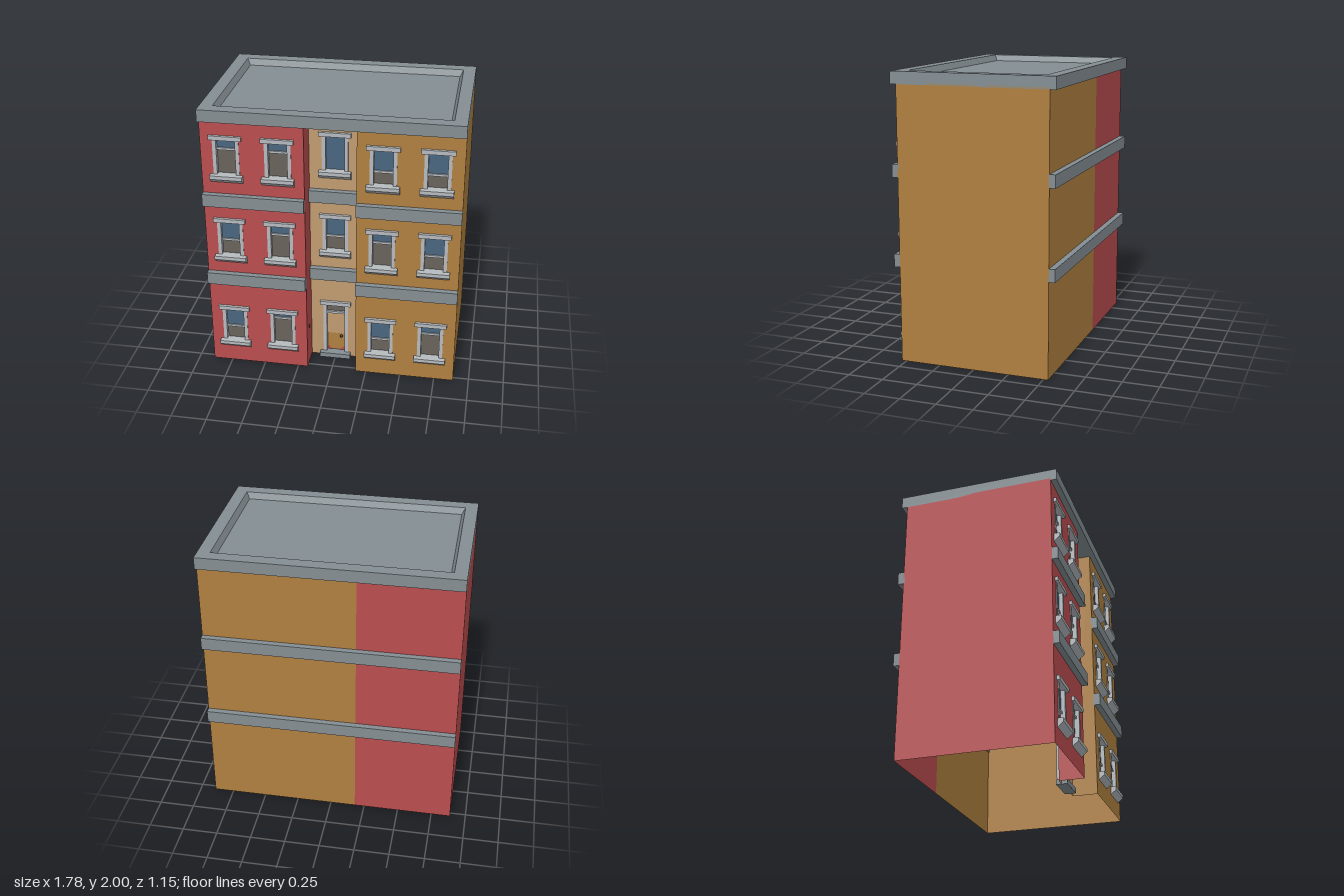
import * as THREE from 'three';

const mat = (name, color) => new THREE.MeshStandardMaterial({ name, color, side: THREE.DoubleSide });

export function createModel() {
  const red = mat('redBrick', 0xba4d4e);
  const ochre = mat('ochreBrick', 0xb08040);
  const tan = mat('tanBrick', 0xc19b70);
  const stone = mat('greyStone', 0x848e93);
  const trim = mat('lightTrim', 0xb6bbbf);
  const glass = mat('blueGlass', 0x4a667f);
  const screen = mat('brownScreen', 0x68625a);
  const dark = mat('darkMetal', 0x3c3a38);

  const model = new THREE.Group();
  model.name = 'rowBuilding';
  const X = 0.888, Z = 0.533, L = -0.18, R = 0.175, REC = 0.355, TOP = 1.93;
  const floors = [[0.185, 0.445], [0.9, 1.16], [1.525, 1.78]]; // opening bottom and top
  const columns = [-0.713, -0.358, 0, 0.353, 0.712];
  // height of the sash rail by floor and column (null: undivided glass)
  const rails = [
    [0.29, 0.392, null, 0.29, 0.37],
    [1.012, 1.08, 1.007, 1.08, 1.007],
    [1.706, 1.706, null, 1.616, 1.62],
  ];

  function add(parent, name, geometry, material, x = 0, y = 0, z = 0) {
    const mesh = new THREE.Mesh(geometry, material);
    mesh.name = name;
    mesh.position.set(x, y, z);
    parent.add(mesh);
    return mesh;
  }
  // box given by its limits
  function box(parent, name, material, x0, x1, y0, y1, z0, z1) {
    return add(parent, name, new THREE.BoxGeometry(x1 - x0, y1 - y0, z1 - z0), material,
      (x0 + x1) / 2, (y0 + y1) / 2, (z0 + z1) / 2);
  }
  const rect = (C, x0, x1, y0, y1) => new C([[x0, y0], [x1, y0], [x1, y1], [x0, y1]]
    .map(([x, y]) => new THREE.Vector2(x, y)));

  // front walls with window openings
  function frontWall(name, material, x0, x1, z, cols) {
    const shape = rect(THREE.Shape, x0, x1, 0, TOP);
    for (const c of cols) floors.forEach(([b, t], f) => {
      const low = c === 0 && f === 0 ? 0.02 : b - 0.012;
      shape.holes.push(rect(THREE.Path, c - 0.078, c + 0.078, low, t + 0.012));
    });
    add(model, name, new THREE.ShapeGeometry(shape), material, 0, 0, z);
  }
  frontWall('redFrontWall', red, -X, L, Z, columns.slice(0, 2));
  frontWall('recessWall', tan, L, R, REC, [0]);
  frontWall('ochreFrontWall', ochre, R, X, Z, columns.slice(3));

  // back and side walls
  function plainWall(name, material, x, z, width, turn) {
    const wall = add(model, name, new THREE.PlaneGeometry(width, TOP), material, x, TOP / 2, z);
    wall.rotation.y = turn;
  }
  plainWall('redBackWall', red, (L - X) / 2, -Z, X + L, Math.PI);
  plainWall('ochreBackWall', ochre, (L + X) / 2, -Z, X - L, Math.PI);
  plainWall('redSideWall', red, -X, 0, 2 * Z, -Math.PI / 2);
  plainWall('ochreSideWall', ochre, X, 0, 2 * Z, Math.PI / 2);
  plainWall('redRecessSide', red, L, (Z + REC) / 2, Z - REC, Math.PI / 2);
  plainWall('ochreRecessSide', ochre, R, (Z + REC) / 2, Z - REC, -Math.PI / 2);

  // string courses on front and back
  for (const y of [0.67, 1.29]) {
    const h = y + 0.09;
    box(model, 'leftFrontBand', stone, -X, L, y, h, Z - 0.01, 0.575);
    box(model, 'recessBand', stone, L, R, y, h, REC - 0.01, REC + 0.042);
    box(model, 'rightFrontBand', stone, R, X, y, h, Z - 0.01, 0.575);
    box(model, 'backBand', stone, -X, X, y, h, -0.575, -Z + 0.01);
  }

  // roof slab with parapet, swept through rectangular rings
  function ringGeometry(rings) {
    const p = [];
    const corner = ([hx, hz, y], i) => [[hx, y, hz], [hx, y, -hz], [-hx, y, -hz], [-hx, y, hz]][i % 4];
    for (let r = 0; r < rings.length - 1; r++) for (let i = 0; i < 4; i++) {
      const a = corner(rings[r], i), b = corner(rings[r], i + 1);
      const c = corner(rings[r + 1], i + 1), d = corner(rings[r + 1], i);
      if (rings[r][0] > 0) p.push(...a, ...b, ...c);
      if (rings[r + 1][0] > 0) p.push(...a, ...c, ...d);
      else if (rings[r][0] === 0) continue;
    }
    const g = new THREE.BufferGeometry();
    g.setAttribute('position', new THREE.Float32BufferAttribute(p, 3));
    g.computeVertexNormals();
    return g;
  }
  add(model, 'corniceAndRoof', ringGeometry([
    [0, 0, 1.915], [X, 0.575, 1.915], [X, 0.575, 2],
    [0.8, 0.485, 2], [0.777, 0.464, 1.955], [0, 0, 1.955],
  ]), stone);

  // sill with a sloping underside
  const sillShape = new THREE.Shape([[-0.04, -0.03], [0, -0.06], [0.04, -0.026], [0.04, 0], [-0.04, 0]]
    .map(([x, y]) => new THREE.Vector2(x, y)));
  const sillGeometry = new THREE.ExtrudeGeometry(sillShape, { depth: 0.225, bevelEnabled: false });
  sillGeometry.translate(0, 0, -0.1125).rotateY(-Math.PI / 2);

  // lintel and jambs shared by windows and door
  function surround(group, bottom, top) {
    box(group, 'lintel', trim, -0.1125, 0.1125, top, top + 0.03, -0.04, 0.021);
    for (const s of [-1, 1])
      box(group, 'jamb', trim, s * 0.078 - 0.013, s * 0.078 + 0.013, bottom, top, -0.04, 0.003);
  }
  function pane(group, name, material, y0, y1, z) {
    add(group, name, new THREE.PlaneGeometry(0.134, y1 - y0), material, 0, (y0 + y1) / 2, z);
  }

  columns.forEach((x, c) => floors.forEach(([bottom, top], f) => {
    if (c === 2 && f === 0) return;
    const group = new THREE.Group();
    group.name = 'window';
    group.position.set(x, 0, c === 2 ? REC : Z);
    model.add(group);
    surround(group, bottom, top);
    add(group, 'sill', sillGeometry, trim, 0, bottom);
    const rail = rails[f][c];
    pane(group, 'upperGlass', glass, rail ?? bottom, top, -0.025);
    if (rail !== null) {
      pane(group, 'lowerScreen', screen, bottom, rail, -0.03);
      box(group, 'sashRail', trim, -0.066, 0.066, rail - 0.008, rail + 0.008, -0.035, -0.015);
    }
  }));

  // front door with transom, panels, knob and step
  const door = new THREE.Group();
  door.name = 'door';
  door.position.z = REC;
  model.add(door);
  surround(door, 0.035, 0.445);
  pane(door, 'transom', screen, 0.37, 0.445, -0.025);
  box(door, 'transomBar', trim, -0.066, 0.066, 0.36, 0.377, -0.035, -0.01);
  pane(door, 'upperDoorPanel', tan, 0.18, 0.365, -0.025);
  pane(door, 'lowerDoorPanel', ochre, 0.02, 0.18, -0.025);
  for (const s of [-1, 1]) {
    const chip = new THREE.Shape([[s * 0.066, 0.035], [s * 0.02, 0.035], [s * 0.06, 0.068]]
      .map(([a, b]) => new THREE.Vector2(a, b)));
    add(door, 'redDoorCorner', new THREE.ShapeGeometry(chip), red, 0, 0, -0.022);
  }
  add(door, 'doorKnob', new THREE.SphereGeometry(0.011, 12, 8), dark, 0.04, 0.165, -0.012);
  box(door, 'doorStep', stone, -0.1125, 0.1125, 0, 0.036, -0.04, 0.04);

  // bell on the recess side
  box(model, 'doorBell', dark, L, L + 0.005, 0.29, 0.31, 0.44, 0.455);

  return model;
}
